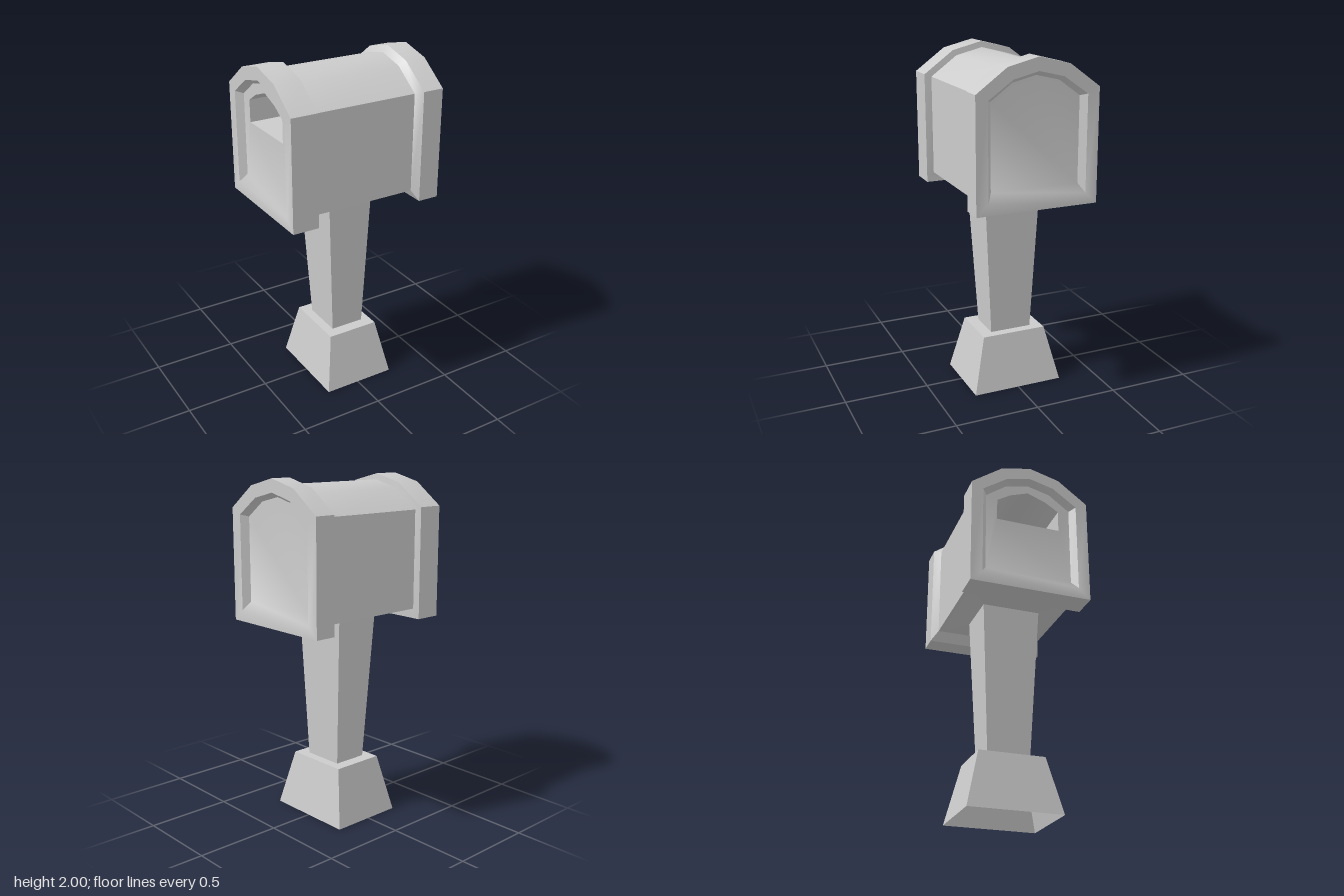
import * as THREE from 'three';
import { toCreasedNormals } from 'three/addons/utils/BufferGeometryUtils.js';

const material = new THREE.MeshStandardMaterial({ color: 0xcccccc });
const openMaterial = new THREE.MeshStandardMaterial({ color: 0xcccccc, side: THREE.DoubleSide });

// Closed arch outline as [y, z] points: straight sides under a four-facet roof
function arch(half, bottom, spring, shoulderZ, shoulder, apex) {
  const side = [[bottom, half], [spring, half], [shoulder, shoulderZ]];
  return [...side.map(([y, z]) => [y, -z]), [apex, 0], ...side.reverse()];
}

// Skin a run of [x, outline] sections, with optional flat ends
function loft(sections, capStart = false, capEnd = false) {
  const n = sections[0][1].length;
  const positions = [];
  const index = [];
  for (const [x, outline] of sections) {
    for (const [y, z] of outline) positions.push(x, y, z);
  }
  for (let s = 0; s < sections.length - 1; s++) {
    for (let i = 0; i < n; i++) {
      const a = s * n + i;
      const b = s * n + (i + 1) % n;
      index.push(a, b, a + n, b, b + n, a + n);
    }
  }
  const last = (sections.length - 1) * n;
  for (let i = 1; i < n - 1; i++) {
    if (capStart) index.push(0, i + 1, i);
    if (capEnd) index.push(last, last + i, last + i + 1);
  }
  const geometry = new THREE.BufferGeometry();
  geometry.setAttribute('position', new THREE.Float32BufferAttribute(positions, 3));
  geometry.setIndex(index);
  return toCreasedNormals(geometry, 0.7);
}

// Tapered block; each end is [y, xMin, xMax, halfZ]
function taper(low, high, openBottom = false) {
  const geometry = new THREE.BoxGeometry(1, 1, 1);
  if (openBottom) {
    const kept = Array.from(geometry.index.array);
    kept.splice(18, 6);
    geometry.setIndex(kept);
  }
  const p = geometry.attributes.position;
  for (let i = 0; i < p.count; i++) {
    const [y, x0, x1, z] = p.getY(i) < 0 ? low : high;
    p.setXYZ(i, p.getX(i) < 0 ? x0 : x1, y, Math.sign(p.getZ(i)) * z);
  }
  const flat = geometry.toNonIndexed();
  flat.computeVertexNormals();
  return flat;
}

export function createModel() {
  const group = new THREE.Group();
  const add = (name, geometry, mat = material) => {
    const mesh = new THREE.Mesh(geometry, mat);
    mesh.name = name;
    group.add(mesh);
  };

  const outer = arch(0.357, 1.18, 1.825, 0.18, 1.955, 2.0);
  const body = arch(0.317, 1.238, 1.81, 0.16, 1.925, 1.965);
  const opening = arch(0.288, 1.245, 1.79, 0.145, 1.89, 1.925);
  const panel = arch(0.258, 1.295, 1.778, 0.135, 1.868, 1.9);
  const slot = arch(0.19, 1.63, 1.76, 0.11, 1.81, 1.85);

  // Box with its two end frames
  add('boxBody', loft([[-0.312, body], [0.312, body]]));
  add('leftFrame', loft([[0.312, body], [0.345, outer], [0.47, outer], [0.47, opening], [0.43, panel]], false, true));
  add('rightFrame', loft([[-0.43, slot], [-0.43, panel], [-0.47, opening], [-0.47, outer], [-0.315, outer], [-0.31, body]]));
  // Letter compartment behind the slot
  add('letterSlot', loft([[0.1, slot], [-0.43, slot]], true));

  // Shallow underside, post and hollow foot
  add('underside', taper([1.225, -0.14, 0.14, 0.172], [1.24, -0.312, 0.312, 0.317]));
  add('post', taper([0.32, -0.09, 0.114, 0.125], [1.235, -0.14, 0.14, 0.172]));
  add('foot', taper([0, -0.208, 0.232, 0.275], [0.333, -0.146, 0.168, 0.195], true), openMaterial);

  return group;
}
